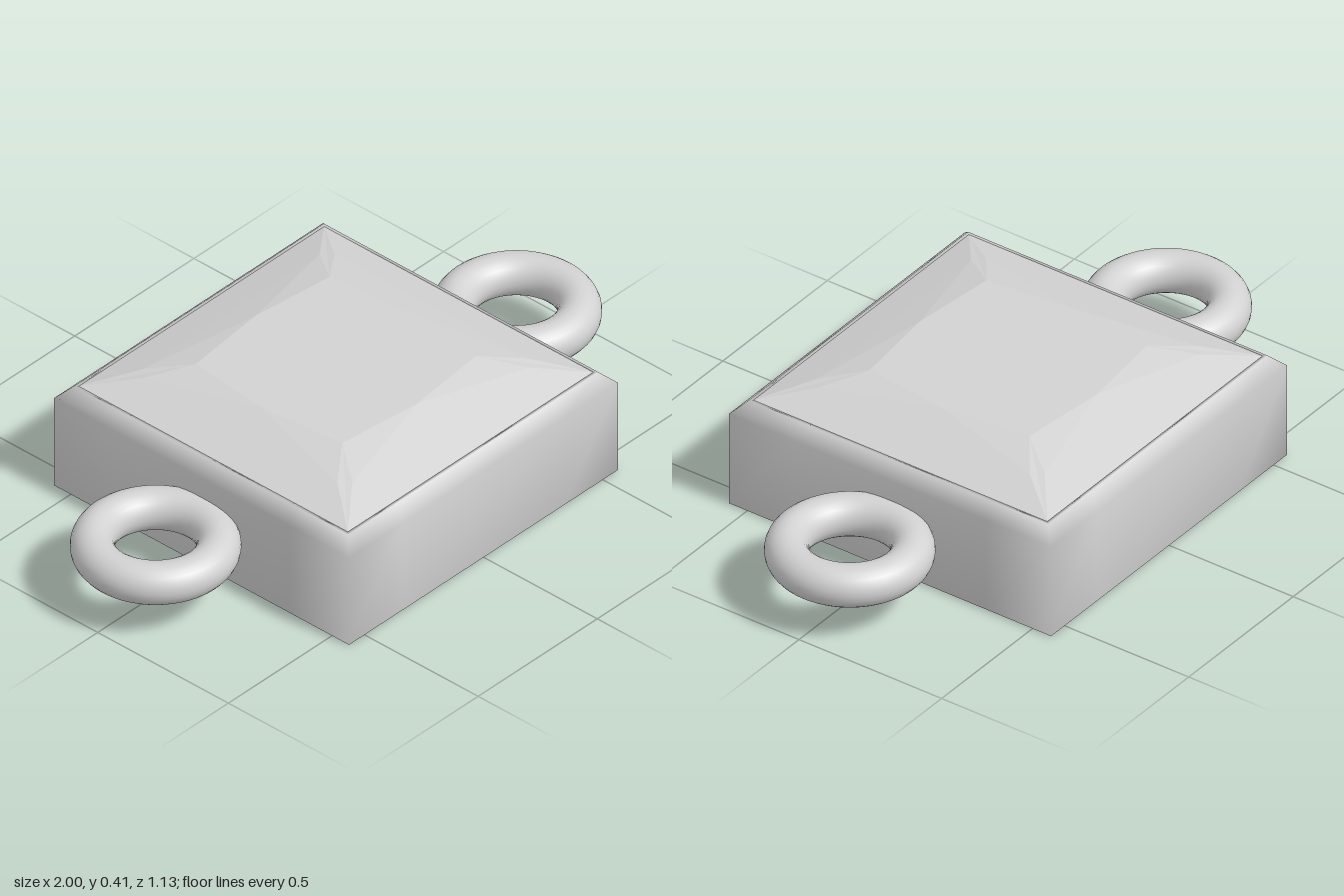
import * as THREE from 'three';

const metal = new THREE.MeshStandardMaterial({ color: 0xd2d2d2 });
metal.name = 'silver grey';

// Sweeps a closed (half width, height) profile around a square, softly shaded
function squareSweep(profile) {
  const along = [-1, -0.6, 0.6]; // stations on each side, ending where the next begins
  const count = along.length * 4;
  const up = new THREE.Vector3(0, 1, 0);
  const positions = [], index = [];
  for (const [w, y] of profile) {
    for (let side = 0; side < 4; side++) {
      for (const t of along) {
        const v = new THREE.Vector3(t * w, y, w).applyAxisAngle(up, side * Math.PI / 2);
        positions.push(v.x, v.y, v.z);
      }
    }
  }
  for (let i = 0; i < profile.length; i++) {
    const next = (i + 1) % profile.length;
    for (let j = 0; j < count; j++) {
      const k = (j + 1) % count;
      const a = i * count + j, b = i * count + k;
      const c = next * count + k, d = next * count + j;
      index.push(a, b, c, a, c, d);
    }
  }
  const geometry = new THREE.BufferGeometry();
  geometry.setAttribute('position', new THREE.Float32BufferAttribute(positions, 3));
  geometry.setIndex(index);
  geometry.computeVertexNormals();
  return geometry;
}

// Cut stone with fourfold symmetry: facets are listed for the +z side, then turned
function stoneGeometry() {
  const girdle = 0.515;
  const cornerL = [-girdle, 0.345, girdle], cornerR = [girdle, 0.345, girdle];
  const lowL = [-girdle, 0.3, girdle], lowR = [girdle, 0.3, girdle];
  const starL = [-0.37, 0.384, 0.4], starR = [0.37, 0.384, 0.4];
  const sideStarR = [0.4, 0.384, 0.37];
  const tableL = [-0.28, 0.413, 0.28], tableR = [0.28, 0.413, 0.28];
  const tableMid = [0, 0.413, 0.31], tableCentre = [0, 0.413, 0];
  const pavL = [-0.24, 0.189, 0.24], pavR = [0.24, 0.189, 0.24];
  const pavMid = [0, 0.147, 0.32], tip = [0, 0.064, 0];
  const facets = [
    // table
    [tableCentre, tableL, tableMid], [tableCentre, tableMid, tableR],
    // crown
    [tableL, starL, tableMid], [tableMid, starR, tableR], [tableMid, starL, starR],
    [starL, cornerL, cornerR], [starL, cornerR, starR],
    [tableR, starR, cornerR], [tableR, cornerR, sideStarR],
    // girdle
    [cornerL, lowL, lowR], [cornerL, lowR, cornerR],
    // pavilion
    [lowL, pavMid, lowR], [lowL, pavL, pavMid], [lowR, pavMid, pavR],
    [tip, pavMid, pavL], [tip, pavR, pavMid],
  ];
  const positions = [];
  const up = new THREE.Vector3(0, 1, 0);
  for (let side = 0; side < 4; side++) {
    for (const facet of facets) {
      for (const corner of facet) {
        const v = new THREE.Vector3(...corner).applyAxisAngle(up, side * Math.PI / 2);
        positions.push(v.x, v.y, v.z);
      }
    }
  }
  const geometry = new THREE.BufferGeometry();
  geometry.setAttribute('position', new THREE.Float32BufferAttribute(positions, 3));
  geometry.computeVertexNormals();
  return geometry;
}

export function createModel() {
  const model = new THREE.Group();
  model.name = 'squareStoneLink';

  const add = (name, geometry) => {
    const mesh = new THREE.Mesh(geometry, metal);
    mesh.name = name;
    model.add(mesh);
    return mesh;
  };

  // Hollow setting: stepped underside, chamfered top and an inner ledge
  add('setting', squareSweep([
    [0.47, 0.012], [0.515, 0.012], [0.515, 0], [0.565, 0],
    [0.565, 0.305], [0.525, 0.345], [0.515, 0.345], [0.515, 0.3],
    [0.42, 0.25], [0.42, 0.215], [0.47, 0.215],
  ]));

  add('stone', stoneGeometry());

  // Linking rings on both sides
  for (const side of [-1, 1]) {
    const ring = add(side > 0 ? 'leftRing' : 'rightRing',
      new THREE.TorusGeometry(0.179, 0.064, 24, 64).rotateX(Math.PI / 2));
    ring.position.set(side * 0.757, 0.175, 0);
  }

  return model;
}
